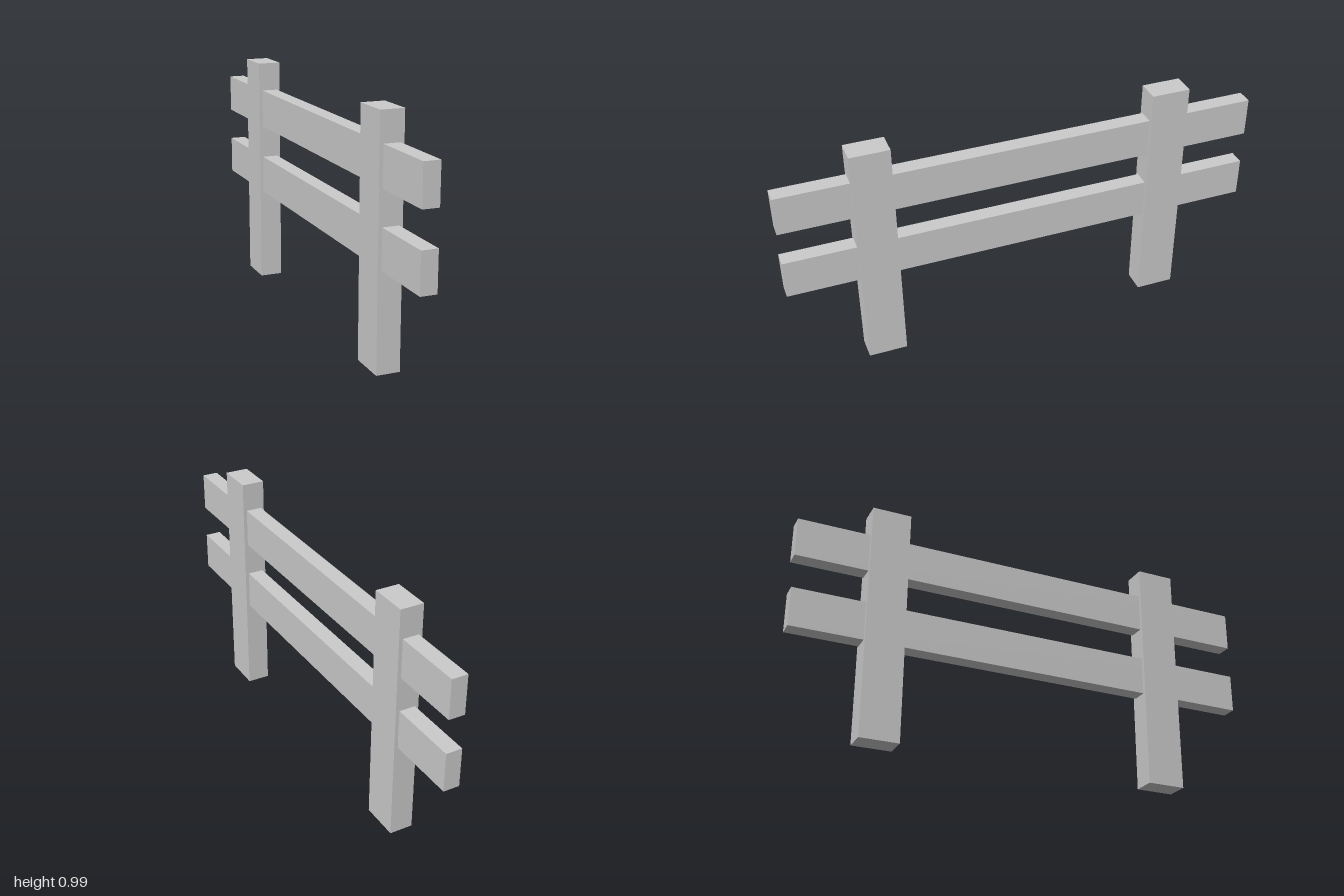
import * as THREE from 'three';

export function createModel() {
  const group = new THREE.Group();
  const material = new THREE.MeshStandardMaterial({ color: 0xcccccc, flatShading: true });

  const addBeam = (name, width, height, depth, y, z) => {
    const mesh = new THREE.Mesh(new THREE.BoxGeometry(width, height, depth), material);
    mesh.name = name;
    mesh.position.set(0, y, z);
    group.add(mesh);
  };

  // Two upright posts standing on the ground
  const postHeight = 0.993;
  for (const [name, side] of [['frontPost', 1], ['backPost', -1]]) {
    addBeam(name, 0.097, postHeight, 0.162, postHeight / 2, side * 0.622);
  }

  // Two rails running through the posts
  for (const [name, y] of [['lowerRail', 0.486], ['upperRail', 0.79]]) {
    addBeam(name, 0.067, 0.163, 2, y, 0);
  }

  return group;
}
